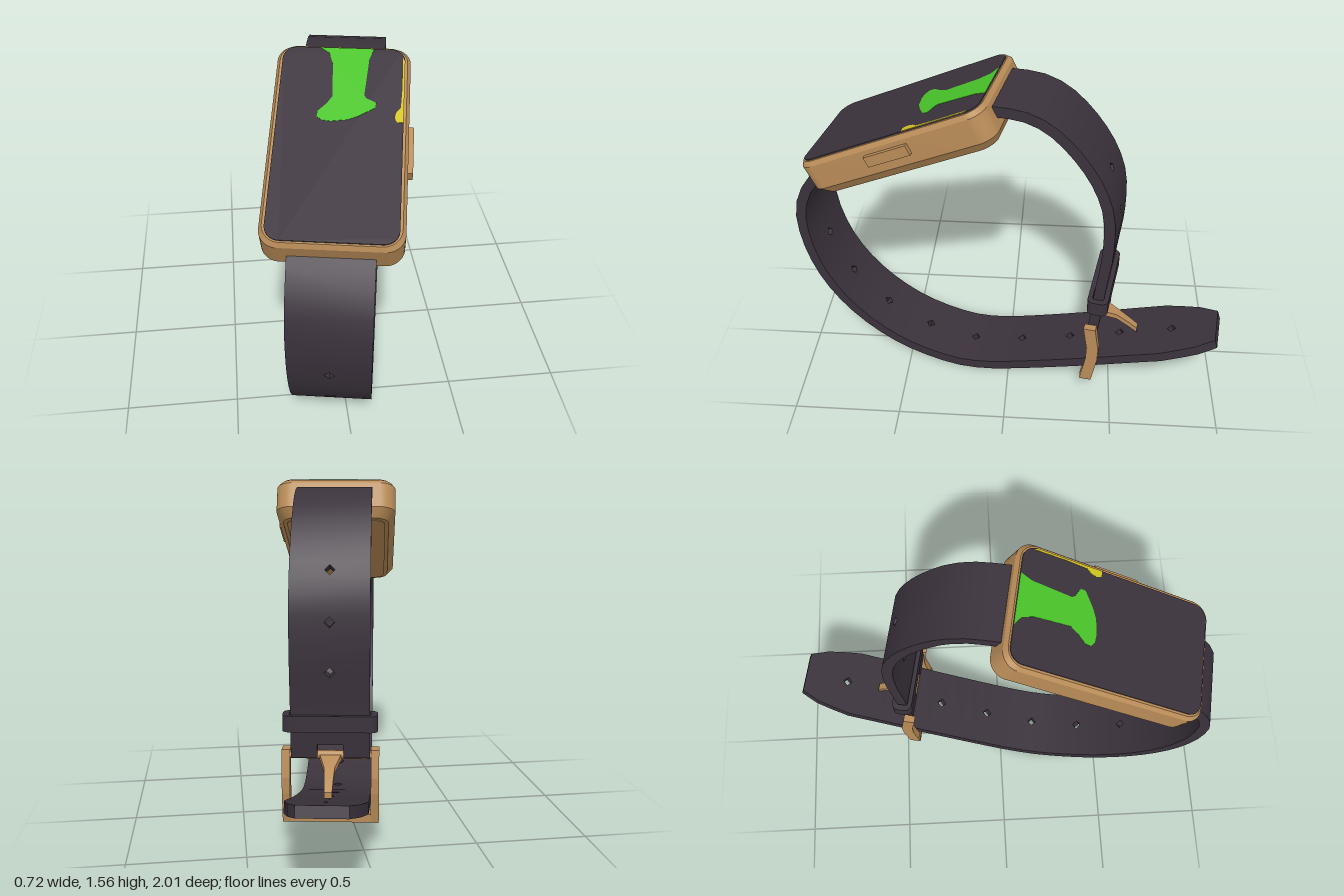
import * as THREE from 'three';
import { mergeGeometries, toCreasedNormals } from 'three/addons/utils/BufferGeometryUtils.js';

const material = (name, color) => Object.assign(new THREE.MeshStandardMaterial({ color }), { name });

function add(parent, name, geometry, mat, x = 0, y = 0, z = 0) {
  const mesh = new THREE.Mesh(geometry, mat);
  mesh.name = name;
  mesh.position.set(x, y, z);
  parent.add(mesh);
  return mesh;
}

const polygon = (pts) => new THREE.Shape(pts.map(([x, y]) => new THREE.Vector2(x, y)));

function roundedRect(hw, hl, r) {
  const s = new THREE.Shape();
  s.absarc(hw - r, hl - r, r, 0, Math.PI / 2);
  s.absarc(-hw + r, hl - r, r, Math.PI / 2, Math.PI);
  s.absarc(-hw + r, -hl + r, r, Math.PI, Math.PI * 1.5);
  s.absarc(hw - r, -hl + r, r, Math.PI * 1.5, Math.PI * 2);
  return s;
}

// Extrudes a shape drawn in plan (x, -z) upwards
const slab = (shape, depth, steps = 1) => new THREE.ExtrudeGeometry(shape,
  { depth, steps, bevelEnabled: false, curveSegments: 6 }).rotateX(-Math.PI / 2);

// Strap: flat punched segments, bent along a curve of [z, y] points
const STRAP_HALF = 0.167, STRAP_THICK = 0.048;
function strap(points, count, hasHole, halfWidth, notched) {
  const curve = new THREE.CatmullRomCurve3(points.map(([z, y]) => new THREE.Vector3(0, y, z)));
  curve.arcLengthDivisions = 800;
  const length = curve.getLength(), seg = length / count, side = new THREE.Vector3(1, 0, 0);
  const parts = [];
  for (let i = 0; i < count; i++) {
    const a = i * seg, b = a + seg, m = (a + b) / 2, r = 0.022;
    const wa = halfWidth(i, count), wb = halfWidth(i + 1, count);
    const outline = notched && i === count - 1
      ? [[-wa, a], [wa, a], [wb, b], [0.055, b], [0.055, a + 0.01], [-0.055, a + 0.01], [-0.055, b], [-wb, b]]
      : [[-wa, a], [wa, a], [wb, b], [-wb, b]];
    const shape = polygon(outline);
    if (hasHole(i)) shape.holes.push(polygon([[0, m - r], [-r, m], [0, m + r], [r, m]]));
    const g = new THREE.ExtrudeGeometry(shape, { depth: STRAP_THICK, bevelEnabled: false });
    const p = g.attributes.position;
    for (let k = 0; k < p.count; k++) {
      const u = Math.min(1, Math.max(0, p.getY(k) / length));
      const at = curve.getPointAt(u), n = side.clone().cross(curve.getTangentAt(u));
      at.addScaledVector(n, p.getZ(k) - STRAP_THICK / 2);
      p.setXYZ(k, p.getX(k), at.y, at.z);
    }
    parts.push(g);
  }
  return toCreasedNormals(mergeGeometries(parts), 0.5);
}

export function createModel() {
  const model = new THREE.Group();
  model.name = 'wristwatch';
  const watch = new THREE.Group();
  watch.name = 'watch';
  watch.rotation.y = -0.18;
  watch.position.x = 0.055;
  model.add(watch);

  const dark = material('dark strap', 0x3b323c);
  const gold = material('gold metal', 0xb98c58);
  const green = material('green display', 0x4ac428);
  const yellow = material('yellow display', 0xd2c31e);

  // Tilted watch head
  const head = new THREE.Group();
  head.name = 'head';
  head.position.set(0, 1.285, 0.43);
  head.rotation.x = 0.443;
  watch.add(head);

  // Case: rounded slab whose levels are inset towards the back and the rim
  const HW = 0.272, HL = 0.463;
  const levels = [[-0.092, 0.03], [-0.05, 0], [0.065, 0], [0.085, 0.013]];
  const caseGeo = slab(roundedRect(HW, HL, 0.075), 3, 3);
  const cp = caseGeo.attributes.position;
  for (let i = 0; i < cp.count; i++) {
    const [y, inset] = levels[Math.round(cp.getY(i))];
    cp.setXYZ(i, cp.getX(i) * (1 - inset / HW), y, cp.getZ(i) * (1 - inset / HL));
  }
  add(head, 'case', toCreasedNormals(caseGeo, 0.4), gold);
  add(head, 'backPlate', slab(roundedRect(0.225, 0.415, 0.06), 0.006), gold, 0, -0.096);
  add(head, 'screen', slab(roundedRect(0.249, 0.443, 0.06), 0.007), dark, 0, 0.083);
  add(head, 'sideButton', new THREE.BoxGeometry(0.04, 0.048, 0.21), gold, HW, 0.02, 0.01);

  // Painted display shapes
  const stem = polygon([[-0.1, 0.442], [-0.06, 0.414], [-0.043, 0.361], [-0.034, 0.2], [-0.055, 0.165],
    [-0.088, 0.127], [-0.09, 0.1], [-0.07, 0.085], [-0.035, 0.081], [0.03, 0.09], [0.073, 0.109], [0.137, 0.15],
    [0.14, 0.174], [0.1, 0.195], [0.091, 0.208], [0.104, 0.39], [0.123, 0.442]]);
  add(head, 'greenDisplay', slab(stem, 0.002), green, 0, 0.0895);
  const edge = polygon([[0.249, 0.085], [0.222, 0.085], [0.214, 0.108], [0.22, 0.132], [0.237, 0.155],
    [0.241, 0.25], [0.24, 0.4], [0.249, 0.38]]);
  add(head, 'yellowDisplay', slab(edge, 0.002), yellow, 0, 0.0895);

  // Long strap with its tapered tip, and short strap with a notched end
  add(watch, 'longStrap', strap([[0.81, 1.1], [0.865, 1.03], [0.93, 0.93], [0.96, 0.82], [0.96, 0.72],
    [0.94, 0.6], [0.89, 0.46], [0.805, 0.325], [0.68, 0.2], [0.53, 0.105], [0.375, 0.05], [0.215, 0.025],
    [0.07, 0.04], [-0.08, 0.08], [-0.235, 0.128], [-0.41, 0.185], [-0.7, 0.285], [-1.0, 0.385]],
  33, (i) => i % 3 === 0 && i >= 6 && i <= 30,
  (i, n) => [0.1, 0.136, 0.153][n - i] ?? STRAP_HALF), dark);
  add(watch, 'shortStrap', strap([[0.03, 1.5], [-0.1, 1.495], [-0.22, 1.443], [-0.38, 1.272], [-0.463, 1.093],
    [-0.479, 0.885], [-0.46, 0.67], [-0.437, 0.41]],
  20, (i) => i === 8 || i === 11 || i === 14, () => STRAP_HALF, true), dark);

  // Keeper loop around the short strap
  const loop = roundedRect(0.2, 0.047, 0.03);
  loop.holes.push(roundedRect(0.172, 0.026, 0.01));
  add(watch, 'keeperLoop', toCreasedNormals(slab(loop, 0.07), 0.6), dark, 0, 0.53, -0.452);

  // Buckle frame: two bent side bars, a lower bar and a hinge pin
  const buckle = new THREE.Group();
  buckle.name = 'buckle';
  watch.add(buckle);
  const bar = new THREE.ExtrudeGeometry(polygon([[-0.40, 0.44], [-0.455, 0.44], [-0.475, 0.32], [-0.473, 0.25],
    [-0.45, 0.113], [-0.395, 0.113], [-0.418, 0.25], [-0.42, 0.32]]),
  { depth: 0.035, bevelEnabled: false }).rotateY(-Math.PI / 2);
  add(buckle, 'leftSideBar', bar, gold, 0.207);
  add(buckle, 'rightSideBar', bar, gold, -0.172);
  add(buckle, 'lowerBar', new THREE.BoxGeometry(0.4, 0.036, 0.055), gold, 0, 0.132, -0.423);
  add(buckle, 'hingePin', new THREE.CylinderGeometry(0.018, 0.018, 0.38, 10).rotateZ(Math.PI / 2),
    gold, 0, 0.415, -0.436);

  // Prong: box swept along [z, y, half width]
  const path = [[-0.63, 0.305, 0.016], [-0.59, 0.335, 0.018], [-0.53, 0.375, 0.022], [-0.47, 0.4, 0.04],
    [-0.415, 0.415, 0.055]];
  const prong = new THREE.BoxGeometry(2, 0.026, 4, 1, 1, 4);
  const pp = prong.attributes.position;
  for (let i = 0; i < pp.count; i++) {
    const [z, y, w] = path[Math.round(pp.getZ(i) + 2)];
    pp.setXYZ(i, pp.getX(i) * w, y + pp.getY(i), z);
  }
  add(buckle, 'prong', toCreasedNormals(prong, 0.5), gold);

  return model;
}
